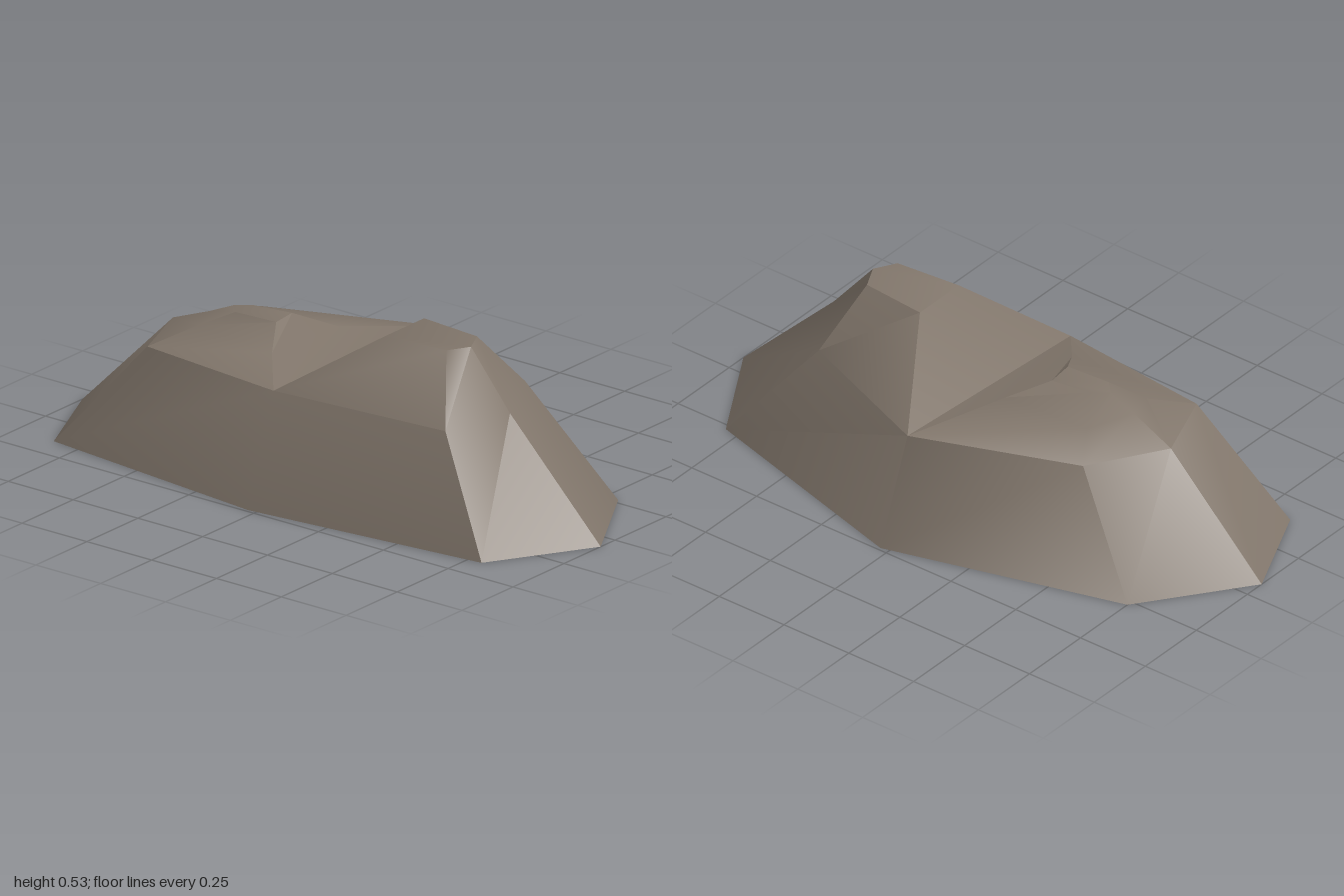
import * as THREE from 'three';
import { toCreasedNormals } from 'three/addons/utils/BufferGeometryUtils.js';

// Rings run right, back, left, front as [x, y, z]
const foot = [
  [1, 0, 0.07], [0.8, 0, -0.27], [0.03, 0, -0.49], [-0.75, 0, -0.27],
  [-1, 0, 0.07], [-0.85, 0, 0.4], [-0.03, 0, 0.49], [0.8, 0, 0.4],
];
const shoulder = [
  [0.65, 0.35, 0.07], [0.52, 0.35, -0.17], [0.02, 0.35, -0.37], [-0.5, 0.35, -0.17],
  [-0.65, 0.35, 0.07], [-0.56, 0.35, 0.31], [-0.03, 0.35, 0.365], [0.59, 0.35, 0.31],
];
const highTop = [
  [0.24, 0.53, 0.16], [0.46, 0.53, 0.14], [0.5, 0.53, 0.07], [0.46, 0.53, -0.01], [0.24, 0.53, -0.03],
];
const lowWaist = [
  [-0.13, 0.4, -0.08], [-0.43, 0.4, -0.06], [-0.5, 0.41, 0.08], [-0.47, 0.4, 0.18], [-0.15, 0.4, 0.22],
];
const lowTop = [
  [-0.23, 0.45, 0.02], [-0.36, 0.45, 0.04], [-0.41, 0.45, 0.08], [-0.37, 0.45, 0.12], [-0.22, 0.45, 0.11],
];

// Joins successive closed rings with quads, optionally closing the last ring
function loft(rings, capped) {
  const n = rings[0].length;
  const index = [];
  for (let r = 0; r < rings.length - 1; r++) {
    for (let i = 0; i < n; i++) {
      const j = (i + 1) % n;
      const a = r * n + i, b = r * n + j, c = b + n, d = a + n;
      index.push(a, b, c, a, c, d);
    }
  }
  if (capped) {
    const s = (rings.length - 1) * n;
    for (let i = 1; i < n - 1; i++) index.push(s, s + i, s + i + 1);
  }
  const geometry = new THREE.BufferGeometry();
  geometry.setAttribute('position', new THREE.Float32BufferAttribute(rings.flat(2), 3));
  geometry.setIndex(index);
  return geometry;
}

// Merges lofts into one shell so that shading runs across their shared edges
function mergeShell(parts) {
  const points = [];
  for (const part of parts) points.push(...part.toNonIndexed().attributes.position.array);
  const geometry = new THREE.BufferGeometry();
  geometry.setAttribute('position', new THREE.Float32BufferAttribute(points, 3));
  return toCreasedNormals(geometry, 0.7);
}

export function createModel() {
  const stone = new THREE.MeshStandardMaterial({ color: 0x80756a, side: THREE.DoubleSide });
  stone.name = 'stone';
  const pick = (ids) => ids.map((i) => shoulder[i]);

  const shell = mergeShell([
    loft([foot, shoulder], false),                          // flanks, open below
    loft([pick([6, 7, 0, 1, 2]), highTop], true),           // high peak
    loft([pick([2, 3, 4, 5, 6]), lowWaist, lowTop], true),  // low peak
  ]);
  const rock = new THREE.Mesh(shell, stone);
  rock.name = 'twinPeakRock';

  const group = new THREE.Group();
  group.name = 'rock';
  group.add(rock);
  return group;
}
